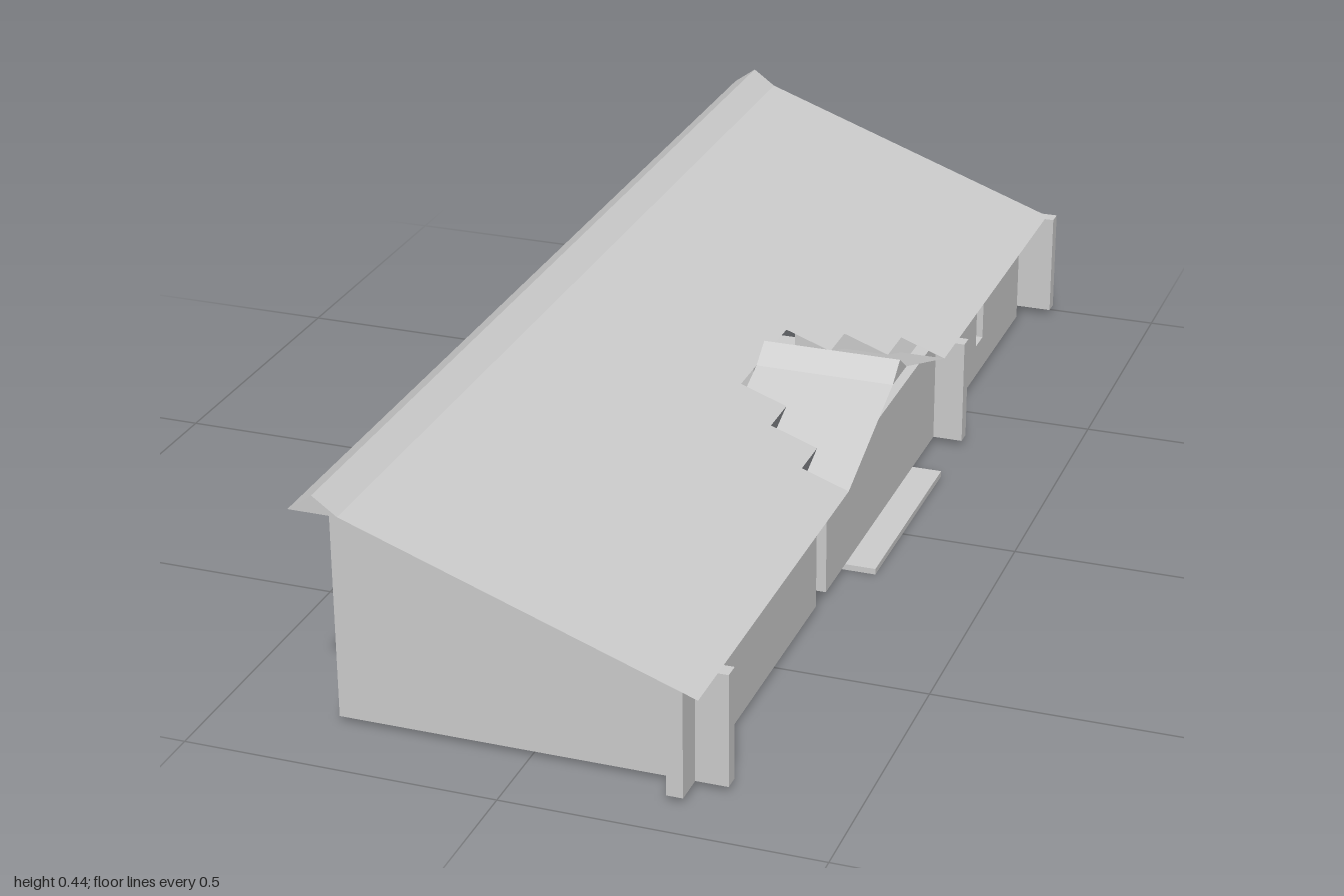
import * as THREE from 'three';

const U = 1 / 39;      // plan unit: one wall thickness
const V = 0.0277;      // height of one stair step
const BASE = 0.01;     // underside of the walls
const TOP = 7 * V;     // top of the low walls

export function createModel() {
  const group = new THREE.Group();
  const mat = new THREE.MeshStandardMaterial({ color: 0xcccccc, flatShading: true, side: THREE.DoubleSide });

  const add = (name, geo) => {
    const mesh = new THREE.Mesh(geo, mat);
    mesh.name = name;
    group.add(mesh);
    return mesh;
  };

  // Box from its limits, plan limits in units
  const box = (name, x0, x1, y0, y1, z0, z1) => {
    const m = add(name, new THREE.BoxGeometry((x1 - x0) * U, y1 - y0, (z1 - z0) * U));
    m.position.set((x0 + x1) / 2 * U, (y0 + y1) / 2, (z0 + z1) / 2 * U);
  };
  const wall = (name, x0, x1, z0, z1) => box(name, x0, x1, BASE, TOP, z0, z1);

  // Upright panel with one small window, one unit thick
  const windowPanel = (name, a0, a1, w0, w1) => {
    const s = new THREE.Shape([[a0, BASE], [a1, BASE], [a1, TOP], [a0, TOP]].map(p => new THREE.Vector2(...p)));
    s.holes.push(new THREE.Path([[w0, 0.07], [w0, 0.15], [w1, 0.15], [w1, 0.07]].map(p => new THREE.Vector2(...p))));
    return add(name, new THREE.ExtrudeGeometry(s, { depth: U, bevelEnabled: false }));
  };

  // Surface from a list of quads or triangles
  const surface = (name, polys) => {
    const pos = [];
    for (const p of polys)
      for (let i = 1; i < p.length - 1; i++) pos.push(...p[0], ...p[i], ...p[i + 1]);
    const g = new THREE.BufferGeometry();
    g.setAttribute('position', new THREE.Float32BufferAttribute(pos, 3));
    g.computeVertexNormals();
    add(name, g);
  };

  // Stepped gable wall at the front
  const gable = new THREE.Shape();
  gable.moveTo(-12 * U, BASE);
  for (let i = 0; i < 8; i++) {
    gable.lineTo((-12 + 3 * i) * U, (14 - i) * V);
    gable.lineTo((-9 + 3 * i) * U, (14 - i) * V);
  }
  gable.lineTo(12 * U, BASE);
  add('frontGableWall', new THREE.ExtrudeGeometry(gable, { depth: U, bevelEnabled: false })).position.z = 33 * U;

  // Back wall standing clear of the rest
  windowPanel('backWall', -12 * U, 12 * U, -0.022, 0.022).position.z = -39 * U;

  // Low-eave side wall, with a door gap and a window
  wall('eaveWallFront', 9, 10, 12, 36);
  const rear = windowPanel('eaveWallRear', -10 * U, 36 * U, 0.63, 0.675);
  rear.rotation.y = Math.PI / 2;   // local x runs to -z
  rear.position.x = 9 * U;

  // High side wall, in two lengths
  wall('highWallFront', -12, -11, -12, 33);
  wall('highWallRear', -12, -11, -36, -14);

  // Partition with a doorway
  wall('partitionLong', 0, 12, -15, -14);
  wall('partitionShort', -11, -3, -15, -14);

  // Thin floor slabs
  box('porchSlab', 6, 12, 0, BASE, -9, 6);
  box('sideSlab', -12, 0, 0, BASE, 9, 18);
  box('innerSlab', -6, 3, 0, BASE, -27, -24);

  // Main roof, in strips that leave a stepped opening
  const roofY = x => 15 * V - (x + 9) / 3 * V;
  const roofQuad = (x0, x1, z0, z1) => [
    [x0 * U, roofY(x0), z1 * U], [x1 * U, roofY(x1), z1 * U],
    [x1 * U, roofY(x1), z0 * U], [x0 * U, roofY(x0), z0 * U]];
  const roof = [roofQuad(-9, 3, -36, 39)];
  for (let i = 0; i < 3; i++) {
    const x = 3 + 3 * i;
    roof.push(roofQuad(x, x + 3, -36, -3 - 3 * i), roofQuad(x, x + 3, 6 + 3 * i, 39));
  }
  surface('mainRoof', roof);

  // Main ridge cap: two slopes, end triangles and a toothed underside
  const y0 = 15 * V, y1 = 16 * V;
  const a = z => [-12 * U, y0, z * U], b = z => [-9 * U, y0, z * U], c = z => [-10.5 * U, y1, z * U];
  const ridge = [
    [c(39), b(39), b(-36), c(-36)], [a(39), c(39), c(-36), a(-36)],
    [a(39), b(39), c(39)], [b(-36), a(-36), c(-36)]];
  for (let z = -36; z < 39; z += 3) ridge.push([a(z), b(z), b(z + 3)]);
  surface('mainRidge', ridge);

  // Dormer ridge cap
  const d = (x, y, z) => [x * U, y * V, z * U];
  surface('dormerRidge', [
    [d(3, 11, 3), d(12, 11, 3), d(12, 12, 1.5), d(3, 12, 1.5)],
    [d(3, 12, 1.5), d(12, 12, 1.5), d(12, 11, 0), d(3, 11, 0)],
    [d(12, 11, 3), d(12, 11, 0), d(12, 12, 1.5)],
    [d(3, 11, 0), d(3, 11, 3), d(3, 12, 1.5)]]);

  // Dormer slopes: stepped strips falling both ways from the ridge
  for (const s of [1, -1]) {
    const strips = [];
    for (let i = 0; i < 3; i++) {
      const zi = 1.5 + s * (1.5 + 3 * i), zo = zi + s * 3, x = 3 + 3 * i;
      const q = [d(x, 11 - i, zi), d(x, 10 - i, zo), d(12, 10 - i, zo), d(12, 11 - i, zi)];
      strips.push(s > 0 ? q : q.reverse());
    }
    surface(s > 0 ? 'dormerSlopeFront' : 'dormerSlopeBack', strips);
  }
  return group;
}
